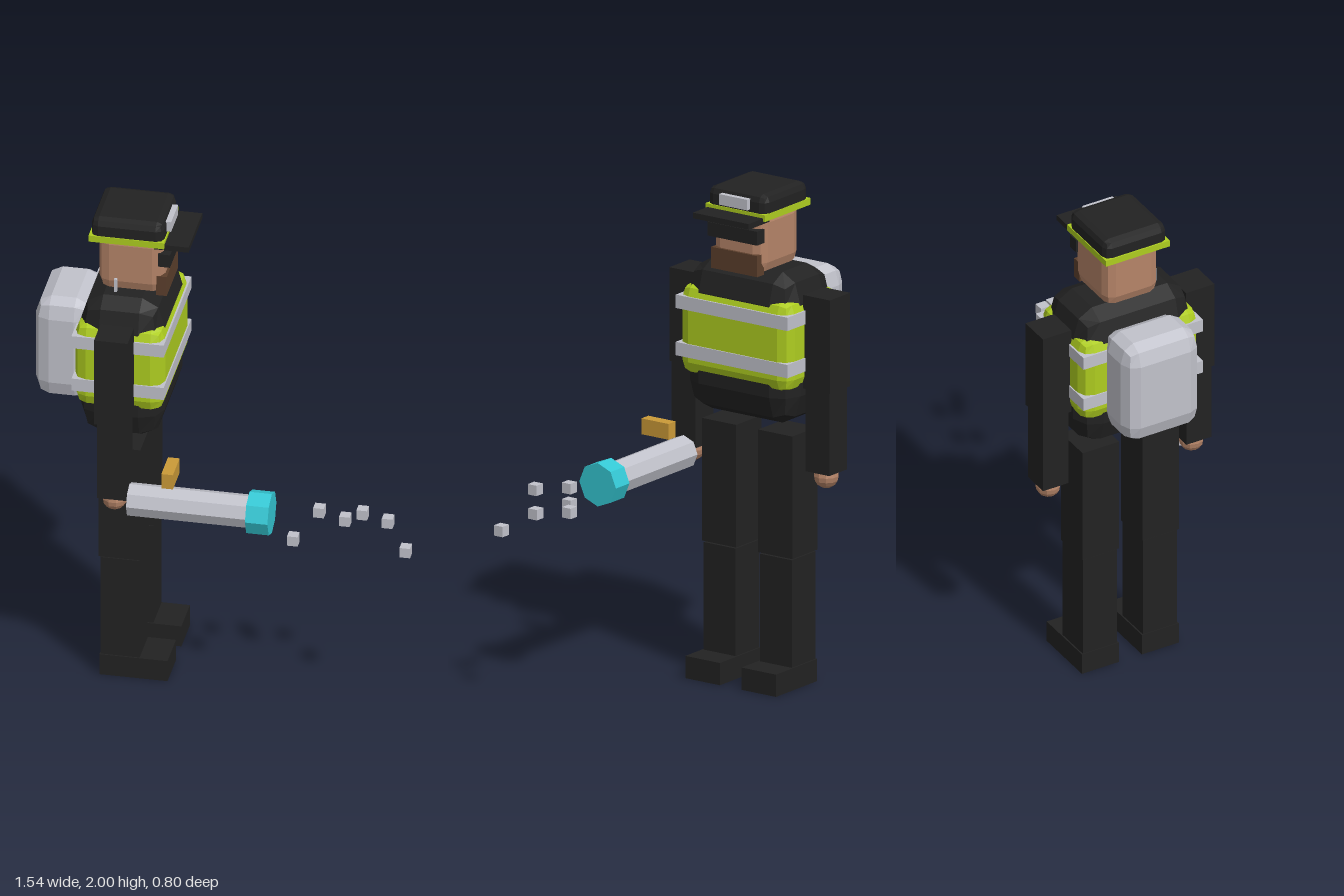
import * as THREE from 'three';

const mat = (name, color) => {
  const m = new THREE.MeshStandardMaterial({ color });
  m.name = name;
  m.flatShading = true;
  return m;
};

// Box with a two-step bevel; the radius may differ per axis
function bevelBox(size, radius) {
  const g = new THREE.BoxGeometry(2, 2, 2, 3, 3, 3);
  const p = g.attributes.position;
  const dir = new THREE.Vector3();
  for (let i = 0; i < p.count; i++) {
    const v = [p.getX(i), p.getY(i), p.getZ(i)];
    dir.set(...v.map((c) => (Math.abs(c) > 0.9 ? Math.sign(c) : 0))).normalize();
    const d = dir.toArray();
    p.setXYZ(i, ...v.map((c, k) => Math.sign(c) * (size[k] / 2 - radius[k]) + d[k] * radius[k]));
  }
  g.computeVertexNormals();
  return g;
}

export function createModel() {
  const root = new THREE.Group();
  root.name = 'uniformedFigure';
  const black = mat('black cloth', 0x222222);
  const lime = mat('lime safety', 0xaecd20);
  const silver = mat('silver grey', 0xc1c2cb);
  const skin = mat('skin', 0xb58468);
  const brown = mat('brown beard', 0x5c3f2c);
  const gold = mat('gold', 0xcb9a38);
  const teal = mat('teal', 0x34c8d4);

  const add = (name, geometry, material, x, y, z, parent = root) => {
    const m = new THREE.Mesh(geometry, material);
    m.name = name;
    m.position.set(x, y, z);
    parent.add(m);
    return m;
  };
  // Both box helpers take the lower and upper limit on each axis
  const span = (a, b) => [b.map((v, i) => v - a[i]), b.map((v, i) => (v + a[i]) / 2)];
  const box = (name, material, a, b, parent) => {
    const [s, c] = span(a, b);
    return add(name, new THREE.BoxGeometry(...s), material, ...c, parent);
  };
  const rounded = (name, material, a, b, radius) => {
    const [s, c] = span(a, b);
    return add(name, bevelBox(s, radius), material, ...c);
  };
  const mid = -0.0125; // centre line of the body in z

  // Cap
  rounded('cap', black, [-0.552, 1.89, -0.153], [-0.264, 2, 0.127], [0.03, 0.03, 0.03]);
  box('capBand', lime, [-0.558, 1.9, -0.156], [-0.26, 1.927, 0.131]);
  box('capPeak', black, [-0.3, 1.89, -0.147], [-0.164, 1.913, 0.121]);
  box('capBadge', silver, [-0.27, 1.937, -0.08], [-0.246, 1.98, 0.056]);

  // Head
  rounded('head', skin, [-0.527, 1.67, -0.132], [-0.266, 1.93, 0.106], [0.045, 0.05, 0.04]);
  box('glasses', black, [-0.288, 1.805, -0.132], [-0.24, 1.861, 0.107]);
  box('beard', brown, [-0.298, 1.672, -0.122], [-0.255, 1.757, 0.1]);
  box('radioAerial', silver, [-0.458, 1.62, 0.118], [-0.446, 1.74, 0.13]);

  // Torso, vest and reflective stripes
  rounded('torso', black, [-0.584, 1.075, -0.267], [-0.25, 1.685, 0.241], [0.09, 0.12, 0.085]);
  rounded('vest', lime, [-0.595, 1.22, -0.277], [-0.24, 1.59, 0.251], [0.05, 0.055, 0.05]);
  for (const y of [1.323, 1.514]) {
    box('reflectiveStripe', silver, [-0.6, y - 0.027, -0.282], [-0.235, y + 0.027, 0.256]);
  }

  // Backpack
  rounded('backpack', silver, [-0.773, 1.18, -0.18], [-0.55, 1.622, 0.154], [0.062, 0.08, 0.055]);

  // Limbs, mirrored about the body's centre line
  for (const side of [1, -1]) {
    const arm = new THREE.Group();
    arm.name = side > 0 ? 'rightArm' : 'leftArm';
    arm.position.z = mid + side * 0.322;
    root.add(arm);
    box('upperArm', black, [-0.487, 1.225, -0.064], [-0.354, 1.603, 0.064], arm);
    box('forearm', black, [-0.477, 0.89, -0.057], [-0.36, 1.225, 0.057], arm);
    add('hand', new THREE.SphereGeometry(0.05, 10, 8), skin, -0.418, 0.87, 0, arm);

    const leg = new THREE.Group();
    leg.name = side > 0 ? 'rightLeg' : 'leftLeg';
    leg.position.z = mid + side * 0.135;
    root.add(leg);
    box('thigh', black, [-0.504, 0.531, -0.082], [-0.338, 1.027, 0.082], leg);
    box('shin', black, [-0.497, 0.02, -0.077], [-0.342, 0.525, 0.077], leg);
    box('boot', black, [-0.5, 0, -0.083], [-0.23, 0.09, 0.083], leg);
  }

  // Hand-held blower
  const tube = (name, material, r, x0, x1) => {
    const m = add(name, new THREE.CylinderGeometry(r, r, x1 - x0, 8), material, (x0 + x1) / 2, 0.867, 0.309);
    m.rotation.z = -Math.PI / 2;
  };
  tube('barrel', silver, 0.067, -0.36, 0.13);
  tube('nozzle', teal, 0.088, 0.115, 0.204);
  box('topHandle', gold, [-0.22, 0.97, 0.245], [-0.174, 1.034, 0.376]);

  // Flying bits
  const bits = [
    [0.302, 0.802, 0.373], [0.392, 0.902, 0.307], [0.481, 0.835, 0.241],
    [0.57, 0.932, 0.34], [0.657, 0.866, 0.274], [0.747, 0.802, 0.373],
  ];
  for (const b of bits) add('flyingBit', new THREE.BoxGeometry(0.042, 0.042, 0.042), silver, ...b);

  return root;
}
